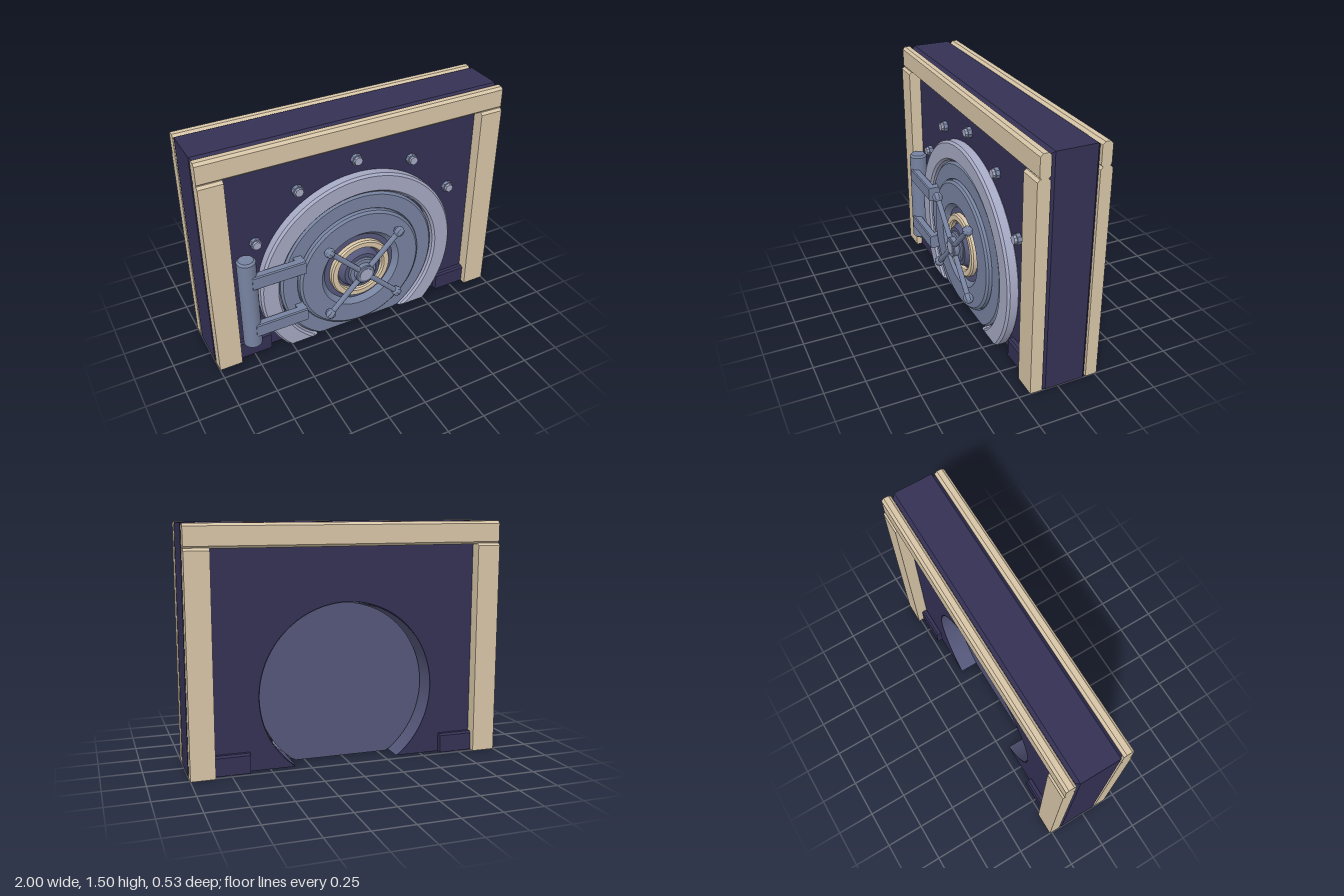
import * as THREE from 'three';
import { toCreasedNormals } from 'three/addons/utils/BufferGeometryUtils.js';

const CY = 0.45; // height of the door axis
const mat = (name, color, side = THREE.FrontSide) => {
  const m = new THREE.MeshStandardMaterial({ color, side });
  m.name = name;
  return m;
};

// Move every vertex by a rule, then rebuild normals with sharp edges kept.
function reshape(geo, rule, crease = 0.4) {
  const p = geo.attributes.position;
  const v = new THREE.Vector3();
  for (let i = 0; i < p.count; i++) {
    rule(v.fromBufferAttribute(p, i));
    p.setXYZ(i, v.x, v.y, v.z);
  }
  return toCreasedNormals(geo, crease);
}
const cutAtFloor = (v) => { v.y = Math.max(0, v.y); };

// Bar with square ends in x; top (and optionally bottom) long edges chamfered.
function bar(x0, x1, y0, y1, z0, z1, top, bottom = 0) {
  const s = new THREE.Shape();
  s.moveTo(z0 + bottom, y0);
  s.lineTo(z1 - bottom, y0);
  if (bottom) s.lineTo(z1, y0 + bottom);
  s.lineTo(z1, y1 - top); s.lineTo(z1 - top, y1); s.lineTo(z0 + top, y1); s.lineTo(z0, y1 - top);
  if (bottom) s.lineTo(z0, y0 + bottom);
  s.closePath();
  const g = new THREE.ExtrudeGeometry(s, { depth: x1 - x0, bevelEnabled: false });
  return g.rotateY(-Math.PI / 2).translate(x1, 0, 0);
}

// Turned part facing +z on the door axis, from [radius, z] points, cut at the floor.
function turned(points, segments = 96) {
  const g = new THREE.LatheGeometry(points.map(([r, z]) => new THREE.Vector2(r, z)), segments);
  g.rotateX(Math.PI / 2).translate(0, CY, 0);
  return reshape(g, cutAtFloor);
}

export function createModel() {
  const model = new THREE.Group();
  model.name = 'vaultDoor';
  const navy = mat('navyWall', 0x343155);
  const tan = mat('tanTrim', 0xd8c6a8);
  const pale = mat('paleSteel', 0xa6a9c4);
  const slate = mat('slateSteel', 0x7783a0);
  const dusk = mat('duskSteel', 0x55577a, THREE.DoubleSide);

  const add = (name, geo, material, parent = model) => {
    const m = new THREE.Mesh(geo, material);
    m.name = name;
    parent.add(m);
    return m;
  };

  // Wall with a round opening cut off by the floor
  const R = 0.565;
  const a = Math.asin(CY / R);
  const chord = R * Math.cos(a);
  const wall = new THREE.Shape();
  wall.moveTo(chord, 0);
  wall.lineTo(1, 0); wall.lineTo(1, 1.5); wall.lineTo(-1, 1.5); wall.lineTo(-1, 0); wall.lineTo(-chord, 0);
  wall.absarc(0, CY, R, Math.PI + a, -a, true);
  const wallGeo = new THREE.ExtrudeGeometry(wall, {
    depth: 0.25, bevelThickness: 0.02, bevelSize: 0.02, bevelOffset: -0.02, bevelSegments: 1, curveSegments: 64,
  });
  wallGeo.translate(0, 0, -0.17);
  add('wall', reshape(wallGeo, (v) => {
    const d = Math.hypot(v.x, v.y - CY);
    const low = v.y < 0.03;
    if (low) v.y = 0;
    if (d < 0.62) { // keep the opening straight, without a chamfer
      if (low) v.x = Math.sign(v.x) * chord;
      else { v.x *= R / d; v.y = CY + (v.y - CY) * R / d; }
    }
  }, 0.1), navy);

  // Lining of the opening
  const open = Math.acos(CY / 0.561);
  const lining = new THREE.CylinderGeometry(0.561, 0.561, 0.288, 80, 1, true, open, 2 * (Math.PI - open));
  lining.rotateX(Math.PI / 2).translate(0, CY, -0.045);
  add('openingLining', lining, dusk);

  // Posts, beams and base blocks on both faces
  for (const [z0, z1, b0, b1, k0, k1] of [
    [0.1, 0.177, 0.1, 0.165, 0.09, 0.138],
    [-0.265, -0.19, -0.256, -0.192, -0.226, -0.18],
  ]) {
    for (const s of [-1, 1]) {
      const span = (p, q) => (s < 0 ? [-q, -p] : [p, q]);
      add('post', bar(...span(0.85, 1), 0, 1.36, z0, z1, 0.015), tan);
      add('baseBlock', bar(...span(0.63, 0.86), 0, 0.124, k0, k1, 0.012), navy);
    }
    add('beam', bar(-1, 1, 1.355, 1.5, b0, b1, 0.016, 0.015), tan);
  }

  // Fixed ring around the door
  const angle = (r) => Math.asin((CY + 0.014) / r);
  const ring = new THREE.Shape();
  ring.absarc(0, CY, 0.686, -angle(0.686), Math.PI + angle(0.686), false);
  ring.absarc(0, CY, 0.558, Math.PI + angle(0.558), -angle(0.558), true);
  const ringGeo = new THREE.ExtrudeGeometry(ring, {
    depth: 0.052, bevelThickness: 0.014, bevelSize: 0.014, bevelOffset: -0.014, bevelSegments: 1, curveSegments: 64,
  });
  ringGeo.translate(0, 0, 0.104);
  add('doorRing', reshape(ringGeo, cutAtFloor), pale);

  // Bolts around the ring
  for (const deg of [30, 60, 90, 120, 150]) {
    const t = deg * Math.PI / 180;
    const bolt = new THREE.Group();
    bolt.name = 'bolt';
    bolt.position.set(0.78 * Math.cos(t), CY + 0.78 * Math.sin(t), 0);
    const base = new THREE.CylinderGeometry(0.036, 0.036, 0.026, 8).rotateX(Math.PI / 2).translate(0, 0, 0.112);
    const head = new THREE.CylinderGeometry(0.027, 0.027, 0.018, 8).rotateX(Math.PI / 2).translate(0, 0, 0.133);
    add('boltBase', toCreasedNormals(base, 0.3), slate, bolt);
    add('boltHead', toCreasedNormals(head, 0.3), pale, bolt);
    model.add(bolt);
  }

  // Door slab, its back and its recessed centre
  add('door', turned([
    [0.548, -0.07], [0.548, 0.142], [0.534, 0.155], [0.438, 0.155], [0.434, 0.142], [0.43, 0.142],
    [0.43, 0.172], [0.414, 0.184], [0.279, 0.184], [0.248, 0.15],
  ]), slate);
  add('doorBack', turned([[0, -0.07], [0.548, -0.07]]), dusk);
  add('doorRecess', turned([[0.248, 0.15], [0.148, 0.15], [0.132, 0.188], [0.125, 0.198], [0, 0.198]]), dusk);
  add('dialRing', turned([[0.212, 0.15], [0.212, 0.176], [0.203, 0.187], [0.17, 0.187], [0.161, 0.176], [0.161, 0.15]], 64), tan);

  // Locking lugs bridging the gap
  for (let i = -1; i <= 5; i++) {
    const t = i * Math.PI / 4;
    const lug = add('lockingLug', new THREE.BoxGeometry(0.03, 0.06, 0.06), slate);
    lug.position.set(0.55 * Math.cos(t), CY + 0.55 * Math.sin(t), 0.08);
    lug.rotation.z = t;
  }

  // Handle wheel: hub, four spokes and ball ends
  add('hub', turned([
    [0.1, 0.19], [0.1, 0.205], [0.092, 0.212], [0.066, 0.212], [0.066, 0.243], [0.06, 0.248], [0, 0.248],
  ], 32), slate);
  add('hubCap', turned([[0.043, 0.246], [0.043, 0.252], [0, 0.252]], 24), pale);
  for (let i = 0; i < 4; i++) {
    const spoke = new THREE.Group();
    spoke.name = 'handleSpoke';
    spoke.position.set(0, CY, 0.23);
    spoke.rotation.z = (i + 0.5) * Math.PI / 2;
    const rod = new THREE.CylinderGeometry(0.018, 0.018, 0.28, 10).translate(0, 0.2, 0);
    const ball = new THREE.SphereGeometry(0.035, 8, 6).translate(0, 0.348, 0);
    add('spokeRod', rod, slate, spoke);
    add('spokeBall', toCreasedNormals(ball, 0.1), slate, spoke);
    model.add(spoke);
  }

  // Hinge barrel and arms
  const barrel = new THREE.LatheGeometry([
    [0, 0.13], [0.046, 0.13], [0.059, 0.143], [0.059, 0.777], [0.046, 0.79], [0, 0.79],
  ].map(([r, y]) => new THREE.Vector2(r, y)), 32);
  add('hingeBarrel', toCreasedNormals(barrel, 0.5), slate).position.set(-0.765, 0, 0.17);
  for (const y of [0.265, 0.64]) {
    add('hingeArm', bar(-0.755, -0.405, y - 0.047, y + 0.047, 0.178, 0.232, 0.007, 0.007), slate);
    add('hingeFoot', bar(-0.46, -0.407, y - 0.045, y + 0.045, 0.14, 0.2, 0.006, 0.006), slate);
  }
  return model;
}
